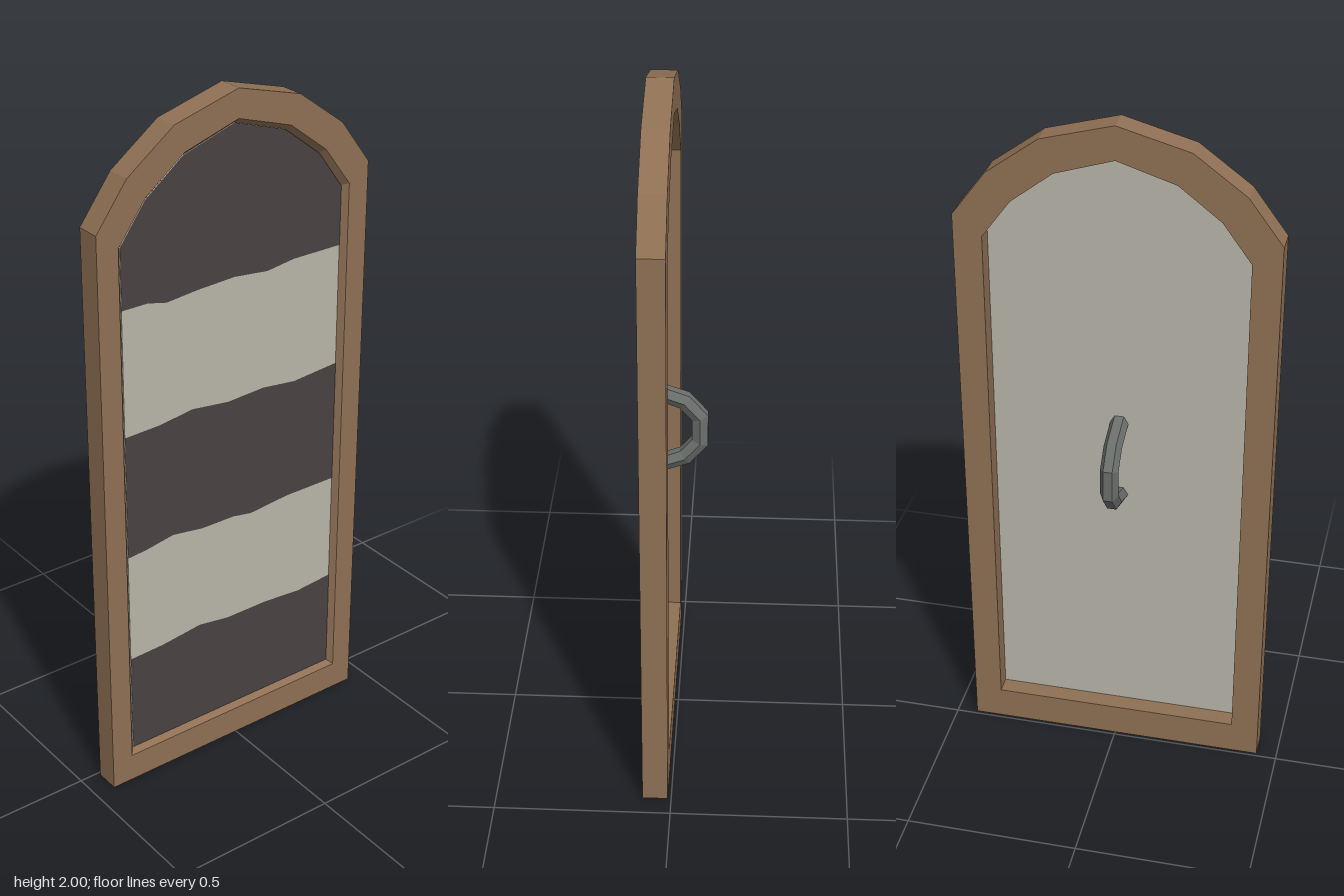
import * as THREE from 'three';

const material = (name, color) => {
  const m = new THREE.MeshStandardMaterial({ color });
  m.name = name;
  return m;
};

// Joins a series of equal-length closed rings with flat faces
function loft(rings) {
  const pos = [];
  for (let k = 0; k < rings.length - 1; k++) {
    const p = rings[k], q = rings[k + 1], n = p.length;
    for (let i = 0; i < n; i++) {
      const j = (i + 1) % n;
      pos.push(...p[i], ...p[j], ...q[i], ...p[j], ...q[j], ...q[i]);
    }
  }
  const g = new THREE.BufferGeometry();
  g.setAttribute('position', new THREE.Float32BufferAttribute(pos, 3));
  g.computeVertexNormals();
  return g;
}

// Mirrors the right half of an arch (bottom corner up to apex) into a full outline
const arch = (half) => [...half, ...half.slice(0, -1).reverse().map(([x, y]) => [-x, y])];
const atDepth = (outline, z) => outline.map(([x, y]) => [x, y, z]);
const toShape = (pts) => new THREE.Shape(pts.map(([x, y]) => new THREE.Vector2(x, y)));

export function createModel() {
  const wood = material('brown wood', 0x8f7054);
  const pale = material('pale paint', 0xb8b4a8);
  const dark = material('dark paint', 0x484141);
  const iron = material('grey iron', 0x6b6f6c);
  const group = new THREE.Group();
  group.name = 'archedShield';
  const add = (name, geometry, mat) => {
    const mesh = new THREE.Mesh(geometry, mat);
    mesh.name = name;
    group.add(mesh);
  };

  // Frame: outer wall, front face, inner chamfer, reveal and back face
  const outer = arch([[0.44, 0], [0.44, 1.71], [0.345, 1.838], [0.2, 1.945], [0, 2]]);
  const lip = arch([[0.375, 0.085], [0.375, 1.66], [0.29, 1.775], [0.17, 1.867], [0, 1.92]]);
  const inner = arch([[0.36, 0.1], [0.36, 1.652], [0.28, 1.762], [0.163, 1.853], [0, 1.905]]);
  const back = 0.01, front = 0.082;
  add('frame', loft([
    atDepth(outer, back), atDepth(outer, front), atDepth(lip, front),
    atDepth(inner, 0.062), atDepth(inner, back), atDepth(outer, back),
  ]), wood);

  // Panel board
  const board = new THREE.ExtrudeGeometry(toShape(inner), { depth: 0.004, bevelEnabled: false });
  board.translate(0, 0, 0.062);
  add('panel', board, pale);

  // Wavy stripe edges, left to right, from top to bottom
  const e1 = [[-0.36, 1.48], [-0.28, 1.48], [-0.22, 1.466], [-0.12, 1.475], [0, 1.48], [0.11, 1.468], [0.2, 1.48], [0.36, 1.48]];
  const e2 = [[-0.36, 1.113], [-0.25, 1.116], [-0.14, 1.13], [-0.02, 1.115], [0.1, 1.121], [0.21, 1.108], [0.36, 1.12]];
  const e3 = [[-0.36, 0.74], [-0.3, 0.745], [-0.21, 0.76], [-0.11, 0.745], [0, 0.744], [0.06, 0.733], [0.19, 0.745], [0.36, 0.745]];
  const e4 = [[-0.36, 0.406], [-0.25, 0.41], [-0.12, 0.425], [-0.02, 0.41], [0.12, 0.41], [0.24, 0.4], [0.36, 0.41]];
  const flip = (edge) => [...edge].reverse();
  const stripes = {
    upperStripe: [...e1, ...inner.slice(1, -1)],
    middleStripe: [...e3, ...flip(e2)],
    lowerStripe: [[-0.36, 0.1], [0.36, 0.1], ...flip(e4)],
  };
  for (const [name, pts] of Object.entries(stripes)) {
    const g = new THREE.ShapeGeometry(toShape(pts));
    g.translate(0, 0, 0.067);
    add(name, g, dark);
  }

  // Handle: hexagonal bar bent in five straight segments, as [y, z] points
  const path = [[0.853, 0.064], [0.883, -0.018], [0.933, -0.061], [1.012, -0.061], [1.062, -0.018], [1.092, 0.064]];
  const radius = 0.026;
  const dir = (a, b) => new THREE.Vector2(b[0] - a[0], b[1] - a[1]).normalize();
  const rings = path.map((p, i) => {
    const into = i > 0 ? dir(path[i - 1], p) : new THREE.Vector2(0, -1);
    const out = i < path.length - 1 ? dir(p, path[i + 1]) : new THREE.Vector2(0, 1);
    const t = into.clone().add(out).normalize();
    const end = i === 0 || i === path.length - 1;
    if (end) t.set(0, i === 0 ? -1 : 1);
    const miter = end ? 1 : 1 / t.dot(out);
    return Array.from({ length: 6 }, (_, k) => {
      const a = k * Math.PI / 3, s = radius * Math.sin(a) * miter;
      return [radius * Math.cos(a), p[0] + t.y * s, p[1] - t.x * s];
    });
  });
  add('handle', loft(rings), iron);

  return group;
}
